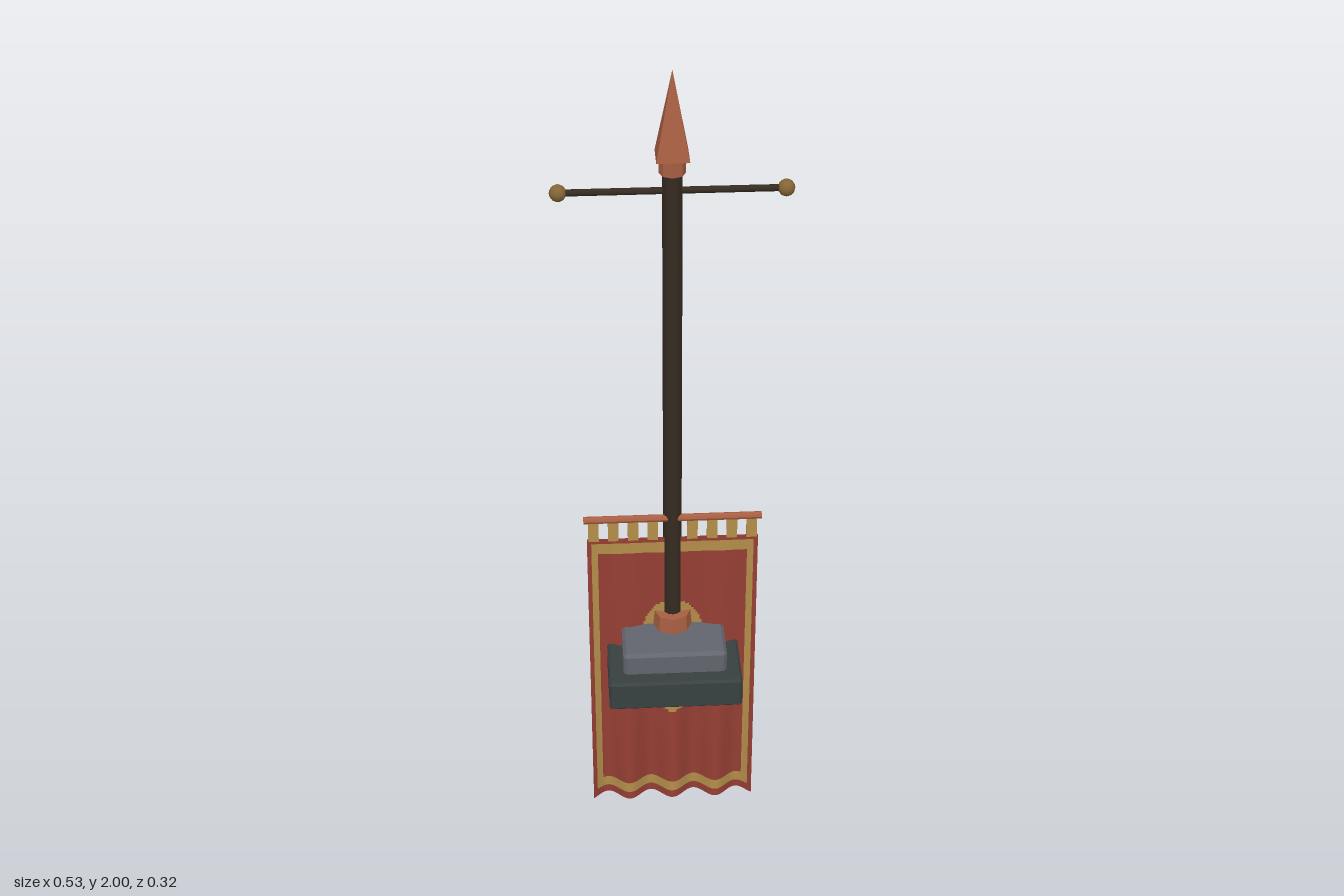
import * as THREE from 'three';
import { ConvexGeometry } from 'three/addons/geometries/ConvexGeometry.js';

const mat = (name, color, extra = {}) => {
  const m = new THREE.MeshStandardMaterial({ color, ...extra });
  m.name = name;
  return m;
};

export function createModel() {
  const group = new THREE.Group();
  const red = mat('red cloth', 0x963f34, { side: THREE.DoubleSide });
  const gold = mat('gold cloth', 0xb48e4a, { side: THREE.DoubleSide });
  const copper = mat('copper', 0xa85f42, { flatShading: true });
  const brass = mat('brass', 0x846535);
  const wood = mat('dark wood', 0x352b21);
  const iron = mat('dark stone', 0x384040);
  const stone = mat('grey stone', 0x62656d);

  const add = (name, geometry, material, x = 0, y = 0, z = 0) => {
    const mesh = new THREE.Mesh(geometry, material);
    mesh.name = name;
    mesh.position.set(x, y, z);
    group.add(mesh);
    return mesh;
  };

  // Box with all edges chamfered by c
  const chamferBox = (w, h, d, c) => {
    const pts = [];
    for (const sx of [-1, 1]) for (const sy of [-1, 1]) for (const sz of [-1, 1]) {
      for (let k = 0; k < 3; k++) {
        pts.push(new THREE.Vector3(
          sx * (w / 2 - (k === 0 ? 0 : c)),
          sy * (h / 2 - (k === 1 ? 0 : c)),
          sz * (d / 2 - (k === 2 ? 0 : c))));
      }
    }
    return new ConvexGeometry(pts);
  };

  // Stepped base
  add('lowerBase', chamferBox(0.322, 0.08, 0.322, 0.006), iron, 0, 0.461);
  add('upperBase', chamferBox(0.25, 0.065, 0.25, 0.008), stone, 0, 0.527);

  // Pole and its socket
  add('poleSocket', new THREE.CylinderGeometry(0.045, 0.048, 0.045, 8), copper, 0, 0.579);
  add('pole', new THREE.CylinderGeometry(0.022, 0.022, 1.18, 12), wood, 0, 1.18);

  // Spear head: collar, short flare and four-sided point
  add('spearCollar', new THREE.CylinderGeometry(0.029, 0.029, 0.042, 8), copper, 0, 1.788);
  const point = new THREE.CylinderGeometry(0, 0.036 * Math.SQRT2, 0.195, 4, 1).rotateY(Math.PI / 4);
  add('spearPoint', point, copper, 0, 1.9025);

  // Crossbar with end balls
  add('crossbar', new THREE.CylinderGeometry(0.008, 0.008, 0.49, 8).rotateZ(Math.PI / 2), wood, 0, 1.726);
  for (const s of [-1, 1]) {
    add('crossbarBall', new THREE.SphereGeometry(0.019, 12, 8), brass, s * 0.245, 1.726);
  }

  // Banner rod and hanging loops
  add('bannerRod', new THREE.CylinderGeometry(0.009, 0.009, 0.422, 8).rotateZ(Math.PI / 2), copper, 0, 0.88, 0.01);
  for (let i = 0; i < 9; i++) {
    add('bannerLoop', new THREE.BoxGeometry(0.025, 0.06, 0.008), gold, -0.188 + i * 0.047, 0.85, 0.01);
  }

  // Banner cloth: a sheet whose folds deepen toward the hem
  const W = 0.408, H = 0.825;
  const cloth = new THREE.PlaneGeometry(W, H, 80, 110).translate(0, H / 2, 0);
  const p = cloth.attributes.position;
  for (let i = 0; i < p.count; i++) {
    const t = p.getY(i) / H;
    p.setZ(i, 0.01 * t + 0.017 * (1 - t) * Math.cos(57 * p.getX(i)));
  }
  cloth.computeVertexNormals();

  // Gold border and oval emblem are chosen by cell
  const isGold = (x, y) => {
    const ax = Math.abs(x);
    if ((x / 0.088) ** 2 + ((y - 0.462) / 0.175) ** 2 < 1) return true;
    if (ax > 0.196 || y < 0.022 || y > 0.808) return false;
    return ax > 0.18 || y < 0.05 || y > 0.782;
  };
  const faces = [[], []];
  const src = cloth.index.array;
  for (let i = 0; i < src.length; i += 6) {
    const cell = Array.from(src.slice(i, i + 6));
    const x = (p.getX(cell[1]) + p.getX(cell[5])) / 2;
    const y = (p.getY(cell[1]) + p.getY(cell[5])) / 2;
    faces[isGold(x, y) ? 1 : 0].push(...cell);
  }
  cloth.setIndex([...faces[0], ...faces[1]]);
  cloth.addGroup(0, faces[0].length, 0);
  cloth.addGroup(faces[0].length, faces[1].length, 1);
  add('bannerCloth', cloth, [red, gold]);

  return group;
}
